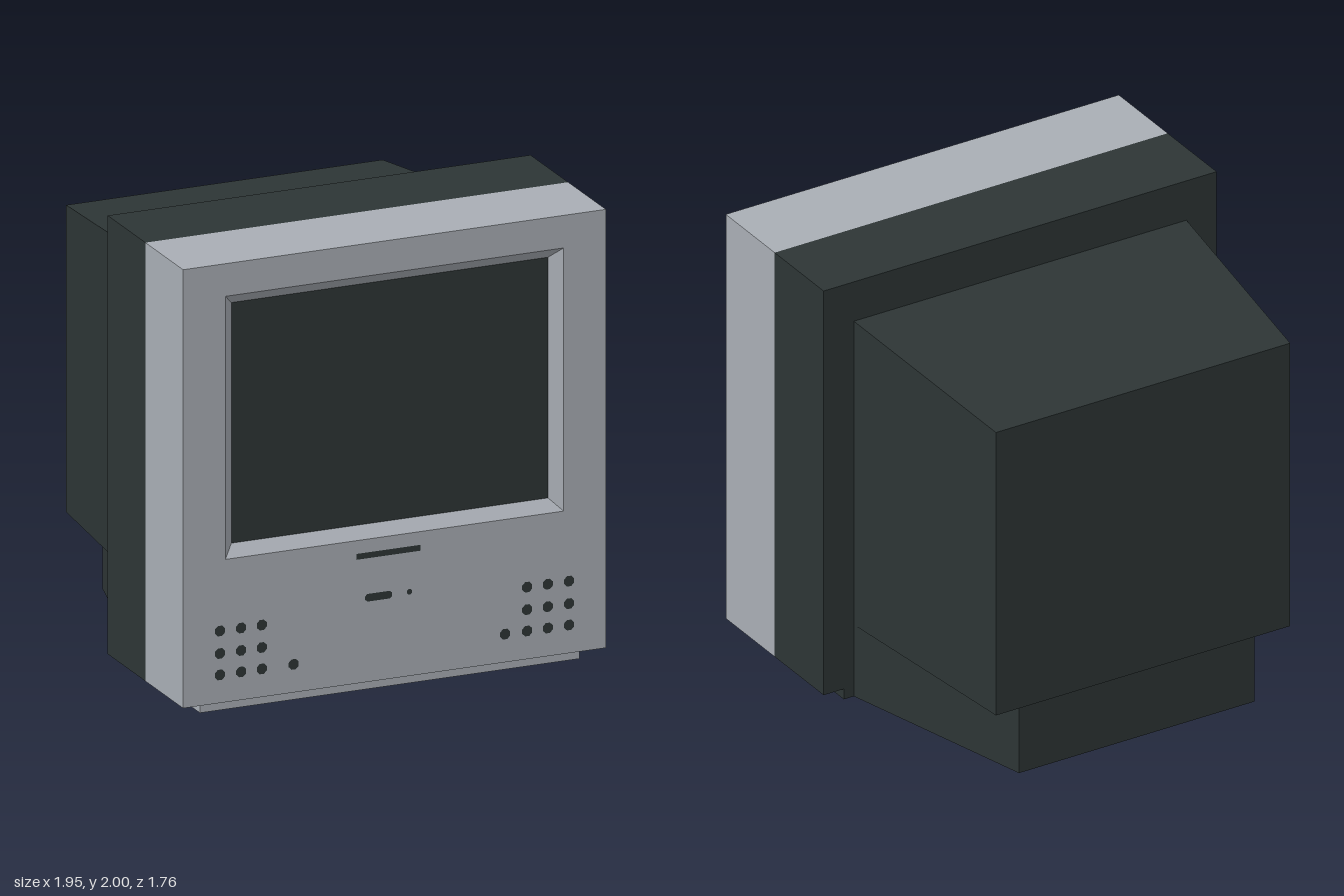
import * as THREE from 'three';

export function createModel() {
  const tv = new THREE.Group();
  tv.name = 'television';
  const material = (name, color) => {
    const m = new THREE.MeshStandardMaterial({ color, side: THREE.DoubleSide });
    m.name = name;
    return m;
  };
  const silver = material('silver plastic', 0xa9aeb5);
  const dark = material('dark plastic', 0x2d3535);

  const add = (name, geometry, mat) => {
    const mesh = new THREE.Mesh(geometry, mat);
    mesh.name = name;
    tv.add(mesh);
    return mesh;
  };

  // flat-shaded band of quads between two paths of equal length
  const strip = (name, mat, a, b) => {
    const pos = [];
    for (let i = 0; i < a.length - 1; i++) {
      pos.push(...a[i], ...b[i], ...a[i + 1], ...a[i + 1], ...b[i], ...b[i + 1]);
    }
    const g = new THREE.BufferGeometry();
    g.setAttribute('position', new THREE.Float32BufferAttribute(pos, 3));
    g.computeVertexNormals();
    // turn the winding so that it follows path a, then b
    return add(name, g, mat);
  };

  // arch seen from the front: up one side, over the top, down the other
  const arch = (x, y0, y1, z) => [[-x, y0, z], [-x, y1, z], [x, y1, z], [x, y0, z]];
  // U seen from above, running between two depths
  const plan = (y, xEnd, zEnd, x, z) => [[-xEnd, y, zEnd], [-x, y, z], [x, y, z], [xEnd, y, zEnd]];
  const rect = (x, y0, y1, z) => [...arch(x, y0, y1, z), [-x, y0, z]];

  const W = 0.975, FRONT = 0.88, SEAM = 0.49, BACK = 0.1;

  // casing shell, open underneath
  strip('frontCasing', silver, arch(W, 0.05, 2, FRONT), arch(W, 0.05, 2, SEAM));
  strip('middleCasing', dark, arch(W, 0.05, 2, SEAM), arch(W, 0.05, 2, BACK));
  strip('casingBackRim', dark, arch(W, 0.05, 2, BACK), arch(0.825, 0.05, 1.81, BACK));

  // plinth below the casing, with the ledge that joins them
  strip('frontLedge', silver, plan(0.05, 0.875, SEAM, 0.875, 0.83), plan(0.05, W, SEAM, W, FRONT));
  strip('frontPlinth', silver, plan(0, 0.875, SEAM, 0.875, 0.83), plan(0.05, 0.875, SEAM, 0.875, 0.83));
  for (const s of [-1, 1]) {
    const side = (x, y) => [[s * x, y, SEAM], [s * x, y, BACK]];
    strip('sideLedge', dark, side(W, 0.05), side(0.875, 0.05));
    strip('sidePlinth', dark, side(0.875, 0.05), side(0.875, 0));
    const end = (y) => [[s * 0.875, y, BACK], [s * 0.825, y, BACK]];
    strip('plinthEnd', dark, end(0.05), end(0));
  }

  // tapering tube housing and the narrower foot under it
  strip('tubeHousing', dark, arch(0.825, 0.345, 1.81, BACK), arch(0.73, 0.345, 1.71, -0.88));
  strip('tubeHousingBack', dark,
    [[-0.73, 0.345, -0.88], [0.73, 0.345, -0.88]], [[-0.73, 1.71, -0.88], [0.73, 1.71, -0.88]]);
  const footTop = plan(0.345, 0.825, BACK, 0.585, -0.83);
  strip('tubeHousingBase', dark, plan(0.345, 0.825, BACK, 0.73, -0.88), footTop);
  strip('rearFoot', dark, footTop, plan(0, 0.825, BACK, 0.585, -0.83));

  // bevelled frame and screen
  strip('screenBevel', silver, rect(0.78, 0.685, 1.855, FRONT), rect(0.73, 0.735, 1.805, FRONT - 0.05));
  const screen = add('screen', new THREE.PlaneGeometry(1.46, 1.07), dark);
  screen.position.set(0, 1.27, FRONT - 0.05);

  // outlines of the dark details set flush into the front panel
  const polygon = (pts) => new THREE.Shape(pts.map(([x, y]) => new THREE.Vector2(x, y)));
  const pill = (x, y, w, h) => {
    const c = h * 0.29, a = w / 2, b = h / 2;
    return polygon([[a, -b + c], [a, b - c], [a - c, b], [-a + c, b],
      [-a, b - c], [-a, -b + c], [-a + c, -b], [a - c, -b]].map(([u, v]) => [x + u, y + v]));
  };
  const details = [
    ['discSlot', polygon([[-0.175, 0.6], [0.12, 0.6], [0.12, 0.626], [-0.175, 0.626]])],
    ['powerButton', pill(-0.073, 0.424, 0.125, 0.034)],
    ['indicator', pill(0.069, 0.424, 0.024, 0.024)],
    ['leftKnob', pill(0.51, 0.175, 0.046, 0.046)],
    ['rightKnob', pill(-0.465, 0.175, 0.046, 0.046)],
  ];
  for (const s of [-1, 1]) {
    for (const x of [0.612, 0.707, 0.805]) {
      for (const y of [0.175, 0.27, 0.37]) {
        details.push(['speakerHole', pill(s * x, y, 0.046, 0.046)]);
      }
    }
  }

  // front panel with openings for the screen and details
  const panel = polygon([[-W, 0.05], [W, 0.05], [W, 2], [-W, 2]]);
  panel.holes.push(polygon([[-0.78, 0.685], [-0.78, 1.855], [0.78, 1.855], [0.78, 0.685]]));
  for (const [name, shape] of details) {
    panel.holes.push(shape);
    add(name, new THREE.ShapeGeometry(shape), dark).position.z = FRONT;
  }
  add('frontPanel', new THREE.ShapeGeometry(panel), silver).position.z = FRONT;

  return tv;
}
